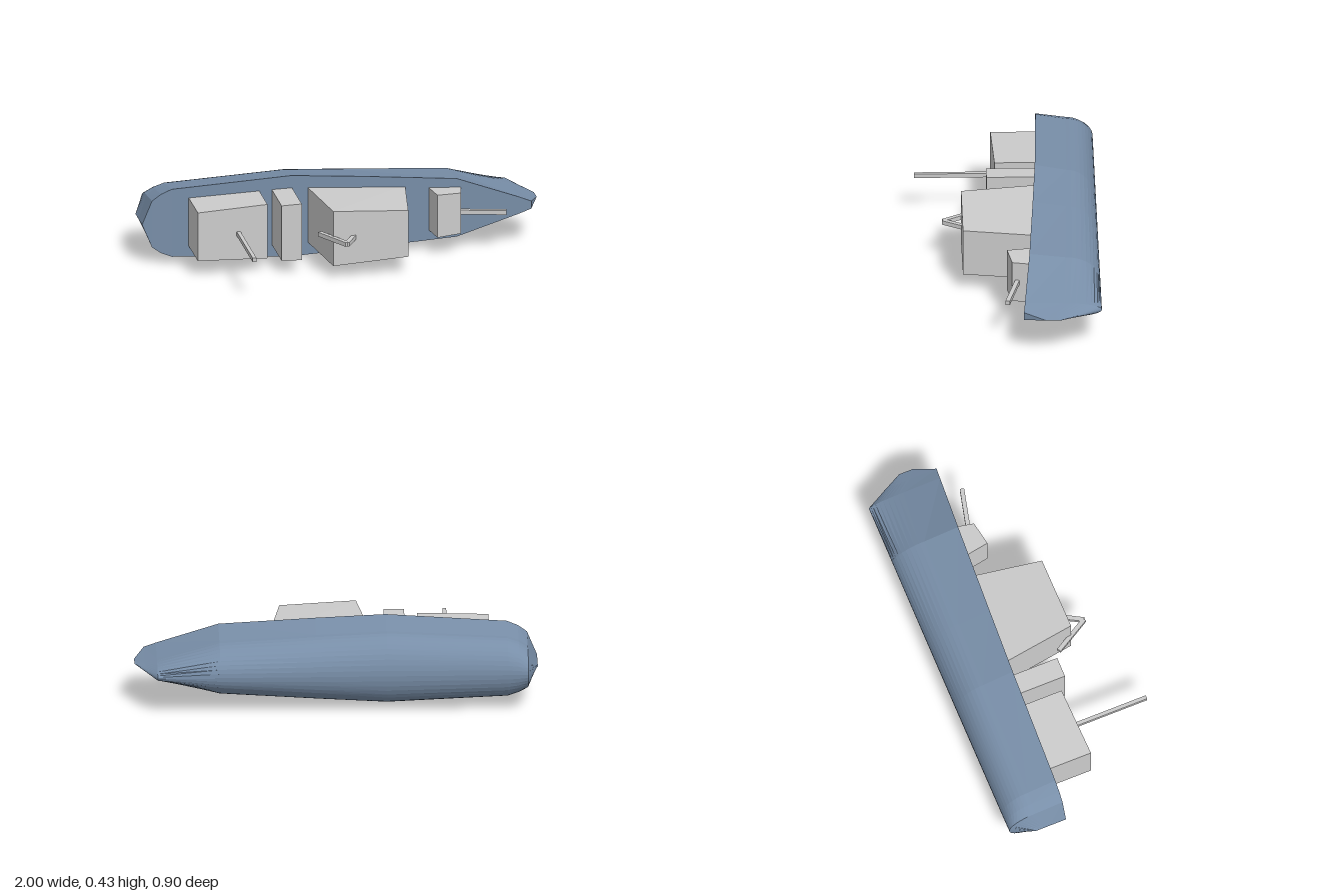
import * as THREE from 'three';

const MID = 0.217; // centreline height: the ship lies on its side, deck facing +z

const grey = new THREE.MeshStandardMaterial({ color: 0xcccccc, flatShading: true });
const blue = new THREE.MeshStandardMaterial({ color: 0x788ea8, flatShading: true });

// Stations from stern to bow: [x, half beam, deck z, keel z]
const STATIONS = [
  [-1, 0, -0.165, -0.33],
  [-0.95, 0.122, -0.163, -0.448],
  [-0.905, 0.155, -0.162, -0.448],
  [-0.85, 0.178, -0.161, -0.448],
  [-0.25, 0.213, -0.143, -0.448],
  [0.1, 0.19, -0.124, -0.448],
  [0.58, 0.153, -0.096, -0.448],
  [0.89, 0.044, -0.066, -0.448],
  [0.95, 0.02, -0.06, -0.337],
  [1, 0, -0.17, -0.24],
];

// Cross-section: deck edge, straight topside, then an elliptical bottom
function section([x, half, deck, keel]) {
  const chine = deck + (keel - deck) * 0.515;
  const points = [[x, MID + half, deck]];
  const steps = 20;
  for (let k = 0; k <= steps; k++) {
    const a = (k / steps) * Math.PI;
    points.push([x, MID + 0.86 * half * Math.cos(a), chine + (keel - chine) * Math.sin(a)]);
  }
  points.push([x, MID - half, deck]);
  return points;
}

function createHull() {
  const rings = STATIONS.map(section);
  const count = rings[0].length;
  const index = [];
  for (let i = 0; i < rings.length - 1; i++) {
    for (let j = 0; j < count; j++) {
      const a = i * count + j;
      const c = i * count + ((j + 1) % count); // wrapping closes the deck
      index.push(a, a + count, c, a + count, c + count, c);
    }
  }
  const geometry = new THREE.BufferGeometry();
  geometry.setAttribute('position', new THREE.Float32BufferAttribute(rings.flat(2), 3));
  geometry.setIndex(index);
  const flat = geometry.toNonIndexed();
  flat.computeVertexNormals();
  const hull = new THREE.Mesh(flat, blue);
  hull.name = 'hull';
  return hull;
}

// Tapered block: x range at base and top, half widths aft and forward, top z aft and forward
function block(name, base, top, widths, zBase, zTop) {
  const geometry = new THREE.BoxGeometry(1, 1, 1);
  const p = geometry.attributes.position;
  for (let i = 0; i < p.count; i++) {
    const fore = p.getX(i) > 0 ? 1 : 0;
    const upper = p.getZ(i) > 0;
    p.setXYZ(
      i,
      (upper ? top : base)[fore],
      MID + Math.sign(p.getY(i)) * widths[fore],
      upper ? zTop[fore] : zBase
    );
  }
  geometry.computeVertexNormals();
  const mesh = new THREE.Mesh(geometry, grey);
  mesh.name = name;
  return mesh;
}

// Square bar between two points (x, z) on the centreline
function bar(name, [x0, z0], [x1, z1], size = 0.022) {
  const length = Math.hypot(x1 - x0, z1 - z0);
  const mesh = new THREE.Mesh(new THREE.BoxGeometry(length, 0.022, size), grey);
  mesh.position.set((x0 + x1) / 2, MID, (z0 + z1) / 2);
  mesh.rotation.y = -Math.atan2(z1 - z0, x1 - x0);
  mesh.name = name;
  return mesh;
}

export function createModel() {
  const ship = new THREE.Group();
  ship.name = 'ship';
  ship.add(createHull());

  // Deckhouses, stern to bow
  ship.add(
    block('aftDeckhouse', [-0.765, -0.41], [-0.765, -0.41], [0.127, 0.142], -0.18, [0.065, 0.053]),
    block('smallDeckhouse', [-0.347, -0.245], [-0.347, -0.245], [0.145, 0.148], -0.17, [0.097, 0.097]),
    block('mainDeckhouse', [-0.165, 0.327], [-0.112, 0.268], [0.144, 0.122], -0.14, [0.226, 0.226]),
    block('foreDeckhouse', [0.438, 0.605], [0.46, 0.583], [0.112, 0.107], -0.12, [0.012, -0.01])
  );

  // Mast, folded crane and forward boom
  ship.add(
    bar('mast', [-0.557, 0.05], [-0.557, 0.448], 0.019),
    bar('craneArm', [-0.163, 0.14], [-0.06, 0.317]),
    bar('cranePost', [-0.06, 0.317], [0.0, 0.21]),
    bar('foreBoom', [0.57, -0.04], [0.808, 0.018])
  );
  return ship;
}
